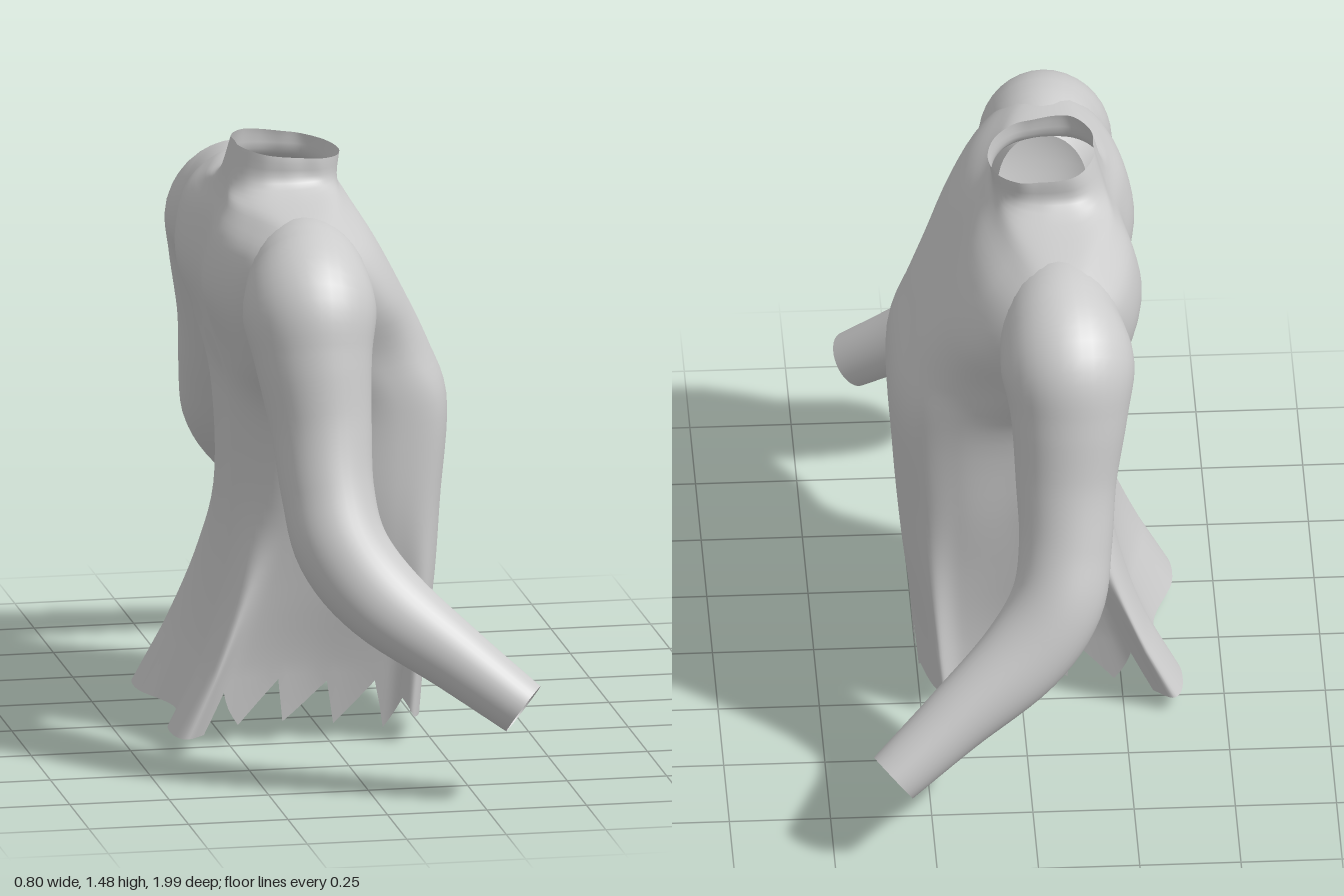
import * as THREE from 'three';

const cloth = new THREE.MeshStandardMaterial({ color: 0xcccccc, side: THREE.DoubleSide });

// Open smooth surface from rings; pointAt(column, row) gives each vertex
function loft(name, cols, rows, pointAt, flip = false) {
  const pos = [], idx = [];
  for (let r = 0; r <= rows; r++)
    for (let c = 0; c < cols; c++) pos.push(...pointAt(c, r).toArray());
  for (let r = 0; r < rows; r++)
    for (let c = 0; c < cols; c++) {
      const n = (c + 1) % cols;
      const a = r * cols + c, b = r * cols + n, d = a + cols, e = b + cols;
      if (flip) idx.push(a, d, b, b, d, e);
      else idx.push(a, b, d, b, e, d);
    }
  const geo = new THREE.BufferGeometry();
  geo.setAttribute('position', new THREE.Float32BufferAttribute(pos, 3));
  geo.setIndex(idx);
  geo.computeVertexNormals();
  const mesh = new THREE.Mesh(geo, cloth);
  mesh.name = name;
  return mesh;
}

// Half cross-sections, chest centre to back centre: height, x values, z values
const skirtRows = [
  [0.0, [.25, .24, .195, .13, -.05, -.28, -.40, -.425, -.36], [0, .15, .30, .25, .22, .25, .325, .2, 0]],
  [0.2, [.265, .255, .215, .145, -.04, -.23, -.30, -.315, -.28], [0, .15, .30, .265, .235, .255, .31, .19, 0]],
  [0.4, [.288, .28, .235, .155, -.01, -.16, -.225, -.245, -.23], [0, .16, .295, .29, .275, .275, .275, .16, 0]],
  [0.6, [.305, .295, .25, .155, .03, -.10, -.18, -.215, -.205], [0, .16, .285, .315, .31, .30, .24, .13, 0]],
];
const chestRows = [
  [.85, [.315, .31, .265, .16, .04, -.08, -.18, -.225, -.21], [0, .17, .28, .33, .34, .32, .26, .13, 0]],
  [1.0, [.26, .26, .205, .11, 0, -.12, -.22, -.255, -.25], [0, .18, .30, .37, .41, .40, .33, .17, 0]],
  [1.15, [.19, .19, .16, .09, -.05, -.18, -.26, -.30, -.28], [0, .18, .33, .43, .47, .45, .36, .18, 0]],
  [1.28, [.125, .12, .09, .03, -.08, -.20, -.25, -.28, -.26], [0, .17, .34, .45, .48, .44, .35, .18, 0]],
  [1.355, [.08, .06, .02, -.03, -.09, -.15, -.20, -.235, -.23], [0, .13, .28, .40, .44, .40, .28, .15, 0]],
  [1.395, [.06, .05, .01, -.05, -.10, -.15, -.19, -.215, -.215], [0, .08, .14, .17, .175, .165, .13, .07, 0]],
  [1.47, [.07, .05, 0, -.05, -.10, -.14, -.17, -.19, -.19], [0, .08, .13, .14, .145, .135, .10, .05, 0]],
];

// Torn hem on one half: position around the section, height
const hem = [
  [0, .01], [.2, .10], [.4, .03], [.6, .14], [.8, .04], [1, .06], [2, .075], [2.6, .12], [3, .04],
  [3.2, .16], [3.7, .05], [3.8, .16], [4.3, .06], [4.4, .17], [4.8, .06], [5.2, .15], [5.4, .05], [8, .05],
];
function hemHeight(u) {
  const i = Math.max(1, hem.findIndex(h => h[0] >= u - 1e-6));
  const [u0, y0] = hem[i - 1], [u1, y1] = hem[i];
  return THREE.MathUtils.mapLinear(u, u0, u1, y0, y1);
}

const smoothCurve = (pts, closed = false) => new THREE.CatmullRomCurve3(pts, closed, 'catmullrom', .5);

function makeTorso() {
  const rows = [...skirtRows, ...chestRows], last = rows.length - 1;
  // One vertical curve through each control point of the closed section
  const verticals = Array.from({ length: 16 }, (_, k) => {
    const j = k <= 8 ? k : 16 - k, side = k <= 8 ? -1 : 1;
    return smoothCurve(rows.map(([y, xs, zs], r) => {
      const tilt = r === last ? -.12 * (xs[j] + .06) : 0; // collar rises at the nape
      return new THREE.Vector3(xs[j], y + tilt, side * zs[j]);
    }));
  });
  const ringAt = level => smoothCurve(verticals.map(v => v.getPoint(level / last)), true);
  const steps = 46;
  const rings = Array.from({ length: steps + 1 }, (_, r) => ringAt(.9 + (last - .9) * r / steps));
  const cols = 160;
  return loft('torso', cols, steps + 1, (c, r) => {
    const u = c / 10;
    // Skirt sections are 0.2 apart, so the hem height gives the level directly
    const ring = r === 0 ? ringAt(hemHeight(u <= 8 ? u : 16 - u) / .2) : rings[r - 1];
    return ring.getPoint(c / cols);
  });
}

// Sleeve stations from inside the shoulder to the cuff:
// centre x, y, z, then front-back radius and radius across the arm
const sleeve = [
  [-.08, 1.20, .26, .11, .15], [-.085, 1.205, .34, .14, .165], [-.09, 1.20, .43, .155, .172],
  [-.10, 1.16, .51, .165, .168], [-.10, 1.06, .56, .145, .142], [-.09, .90, .607, .125, .125],
  [-.085, .75, .668, .115, .112], [-.06, .62, .732, .115, .105], [.03, .50, .792, .108, .092],
  [.20, .365, .862, .085, .08], [.355, .245, .93, .07, .07],
];

function makeSleeve(name, side) {
  const path = smoothCurve(sleeve.map(s => new THREE.Vector3(s[0], s[1], s[2])));
  const radii = smoothCurve(sleeve.map(s => new THREE.Vector3(s[3], s[4], 0)));
  const cols = 36, steps = 60;
  return loft(name, cols, steps, (c, r) => {
    const t = r / steps, angle = c / cols * Math.PI * 2;
    const axis = path.getTangent(t), rad = radii.getPoint(t);
    const forward = new THREE.Vector3(1, 0, 0).addScaledVector(axis, -axis.x).normalize();
    const across = new THREE.Vector3().crossVectors(axis, forward);
    const p = path.getPoint(t)
      .addScaledVector(forward, Math.cos(angle) * rad.x)
      .addScaledVector(across, Math.sin(angle) * rad.y);
    p.z *= side;
    return p;
  }, side < 0);
}

export function createModel() {
  const shirt = new THREE.Group();
  shirt.name = 'tornShirt';
  shirt.add(makeTorso(), makeSleeve('sleeveNear', 1), makeSleeve('sleeveFar', -1));
  return shirt;
}
